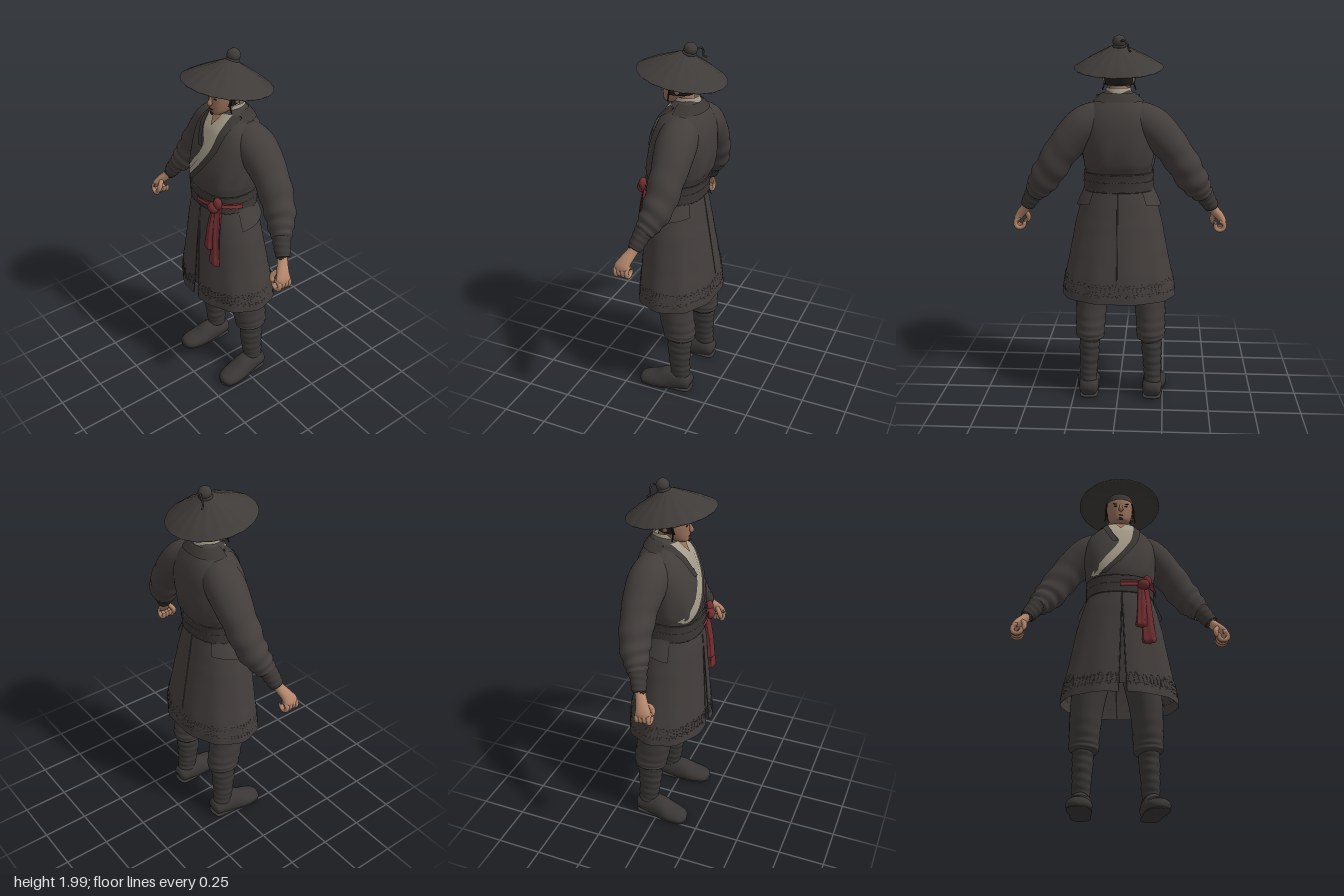
import * as THREE from 'three';
import { mergeVertices } from 'three/addons/utils/BufferGeometryUtils.js';

const { sin, cos, abs, sign, max, min, floor, PI } = Math;
const V = (x, y, z) => new THREE.Vector3(x, y, z);
const lerp = THREE.MathUtils.lerp;

// Smooth interpolation through rows of numbers
function curve(rows, t) {
  const n = rows.length, i = min(max(floor(t), 0), n - 2), f = t - i;
  const r = k => rows[min(max(k, 0), n - 1)];
  return r(i).map((b, c) => {
    const a = r(i - 1)[c], d = r(i + 1)[c], e = r(i + 2)[c];
    return b + 0.5 * f * (d - a + f * (2 * a - 5 * b + 4 * d - e + f * (3 * (b - d) + e - a)));
  });
}
// Row at height y, for tables keyed by descending height
function atHeight(rows, y) {
  let i = 0;
  while (i < rows.length - 2 && y < rows[i + 1][0]) i++;
  return curve(rows, i + min(max((rows[i][0] - y) / (rows[i][0] - rows[i + 1][0]), 0), 1));
}
// Surface from f(u, v), with coincident points welded
function grid(f, nu, nv) {
  const pos = [], idx = [], w = nu + 1;
  for (let j = 0; j <= nv; j++) for (let i = 0; i <= nu; i++) pos.push(...f(i / nu, j / nv).toArray());
  for (let j = 0; j < nv; j++) for (let i = 0; i < nu; i++) {
    const a = j * w + i;
    idx.push(a, a + 1, a + w + 1, a, a + w + 1, a + w);
  }
  let g = new THREE.BufferGeometry();
  g.setAttribute('position', new THREE.Float32BufferAttribute(pos, 3));
  g.setIndex(idx);
  g = mergeVertices(g, 1e-4);
  g.computeVertexNormals();
  return g;
}
// Oval tube along rows of [x, y, z, radiusU, radiusV]
function loft(rows, nv = 24, nu = 24, bump = () => 0, floorY = -9) {
  const n = rows.length - 1;
  return grid((u, v) => {
    const p = curve(rows, v * n), a = u * 2 * PI;
    const q = curve(rows, max(v * n - 0.05, 0)), r = curve(rows, min(v * n + 0.05, n));
    const t = V(r[0] - q[0], r[1] - q[1], r[2] - q[2]).normalize();
    const U = (abs(t.z) > 0.8 ? V(0, 1, 0) : V(0, 0, 1)).cross(t).normalize();
    const W = t.clone().cross(U), k = 1 + bump(v, a);
    const o = V(p[0], p[1], p[2]).addScaledVector(U, max(p[3], 0) * k * cos(a)).addScaledVector(W, max(p[4], 0) * k * sin(a));
    o.y = max(o.y, floorY);
    return o;
  }, nu, nv);
}
const tube = (pts, r, n = 16) => new THREE.TubeGeometry(new THREE.CatmullRomCurve3(pts.map(p => V(...p))), n, r, 6);

// Body tables: height, half width, front z, back z
const TORSO = [[1.715, .06, .0, -.085], [1.69, .09, .04, -.105], [1.65, .13, .07, -.13], [1.61, .17, .1, -.15], [1.55, .2, .125, -.166],
  [1.48, .205, .15, -.172], [1.4, .2, .17, -.17], [1.32, .19, .177, -.155], [1.27, .176, .17, -.13], [1.17, .175, .165, -.12]];
const SKIRT = [[1.21, .178, .17, -.124], [1.1, .21, .183, -.14], [1, .236, .19, -.157], [.8, .272, .205, -.19], [.66, .3, .214, -.21], [.58, .308, .22, -.216]];
const HEAD = [[1.9, 0, 0, 0], [1.87, .06, .075, -.08], [1.82, .074, .096, -.09], [1.78, .073, .1, -.085], [1.74, .066, .1, -.065],
  [1.705, .052, .098, -.02], [1.685, .033, .094, .02], [1.675, 0, .07, .06]];

// Point on a body table at angle a (0 = left side, PI/2 = front)
function skin(rows, a, y, off = 0, p = 2.4) {
  const [, rx, zf, zb] = atHeight(rows, y), pw = c => sign(c) * abs(c) ** (2 / p);
  return V((rx + off) * pw(cos(a)), y, (zf + zb) / 2 + ((zf - zb) / 2 + off) * pw(sin(a)));
}
function frontZ(rows, x, y, p = 2.4) {
  const [, rx, zf, zb] = atHeight(rows, y), q = min(abs(x / rx), 0.985);
  return (zf + zb) / 2 + (zf - zb) / 2 * (1 - q ** p) ** (1 / p);
}
const band = (rows, a0, a1, y0, y1, off, n = 48, p = 2.4) => grid((u, v) => skin(rows, lerp(a1, a0, u), lerp(y0, y1, v), off, p), n, 6);
// Cloth on the chest between two edges of [x, y], listed top down
const lapel = (L, R, off) => grid((u, v) => {
  const a = curve(L, (1 - v) * (L.length - 1)), b = curve(R, (1 - v) * (R.length - 1));
  const x = lerp(a[0], b[0], u), y = lerp(a[1], b[1], u);
  return V(x, y, frontZ(TORSO, x, y) + off);
}, 8, 28);

export function createModel() {
  const model = new THREE.Group();
  const mat = (name, color, two) => {
    const m = new THREE.MeshStandardMaterial({ color, side: two ? THREE.DoubleSide : THREE.FrontSide });
    m.name = name;
    return m;
  };
  const robe = mat('robe cloth', 0x433e3c, true), trim = mat('dark trim', 0x3b3735, true), straw = mat('hat', 0x3f3b39, true);
  const trousersM = mat('trousers', 0x3f3b3a, true), boots = mat('boots', 0x393635, true), cream = mat('cream linen', 0xa59d8a, true);
  const red = mat('red sash', 0x6f2d30, true), handSkin = mat('hand skin', 0xb3866b), faceSkin = mat('face skin', 0x97705a, true);
  const hair = mat('hair', 0x231f1e, true);
  const add = (name, geo, m, parent = model) => {
    const o = new THREE.Mesh(geo, m);
    o.name = name;
    parent.add(o);
    return o;
  };
  const ball = (name, m, x, y, z, sx, sy, sz, parent) => {
    const o = add(name, new THREE.SphereGeometry(1, 16, 12), m, parent);
    o.position.set(x, y, z);
    o.scale.set(sx, sy, sz);
    return o;
  };

  // Robe top with soft folds above the belt
  add('robeTop', grid((u, v) => {
    const a = -u * 2 * PI, y = lerp(1.17, 1.715, v);
    const fold = .005 * sin(a * 9 + y * 14) * max(0, 1 - abs(y - 1.34) / .13);
    return skin(TORSO, a, y, fold);
  }, 64, 40), robe);
  const inL = [[-.078, 1.685], [-.05, 1.59], [-.015, 1.51], [-.095, 1.39], [-.172, 1.3]];
  const inR = [[.078, 1.685], [.068, 1.59], [.045, 1.5], [-.035, 1.38], [-.125, 1.29]];
  const shift = (pts, d) => pts.map(([x, y]) => [x + d, y]);
  add('innerShirt', lapel(inL, inR, .004), cream);
  add('innerLapel', lapel(shift(inR, -.035), inR, .008), cream);
  add('throat', lapel([[-.038, 1.7], [-.022, 1.66], [-.002, 1.625]], [[.038, 1.7], [.022, 1.66], [.002, 1.625]], .011), faceSkin);
  add('outerCollar', lapel(inR, shift(inR, .04), .012), trim);
  add('underCollar', lapel(shift(inL.slice(0, 3), -.035), inL.slice(0, 3), .01), trim);
  add('backCollar', band(TORSO, PI * .93, PI * 2.07, 1.655, 1.7, .008, 32), trim);
  add('shirtCollar', grid((u, v) => {
    const a = lerp(PI * 2.3, PI * .7, u), r = lerp(.078, .064, v);
    return V(r * cos(a), lerp(1.66, 1.725, v), -.032 + r * .95 * sin(a));
  }, 32, 6), cream);

  // Skirt: open at the front, waving a little towards the hem
  const slit = y => .006 + .06 * max(0, (1.16 - y) / .58);
  const skirtAt = (u, y, off = 0) => {
    const g = slit(y), a = lerp(PI / 2 - g, PI / 2 - 2 * PI + g, u);
    return skin(SKIRT, a, y, off + .004 * sin(a * 10 + 1) * max(0, (1.1 - y) / .5), 2.1);
  };
  add('skirt', grid((u, v) => skirtAt(u, lerp(.585, 1.21, v)), 96, 24), robe);
  add('skirtHem', grid((u, v) => skirtAt(u, lerp(.585, .715, v), .003), 96, 4), robe);
  for (const k of [0, 1]) {
    const zig = Array.from({ length: 81 }, (_, i) => skirtAt(i / 80, (i + k) % 2 ? .62 : .7, .002).toArray());
    add('hemStitching', tube(zig, .002, 240), robe);
    add('frontEdge', tube([1.15, 1, .85, .7, .59].map(y => skirtAt(k, y, .001).toArray()), .003), robe);
  }
  add('skirtLining', band(SKIRT, PI / 2 - .3, PI / 2 + .3, .64, 1.19, -.02, 12, 2.1), trim);
  add('backSeam', tube([1.18, 1, .85, .7, .59].map(y => skirtAt(.5, y).toArray()), .003), robe);
  for (const s of [1, -1]) {
    add('hipFlap', grid((u, v) => {
      const a = lerp(.25, -.85, u), p = skin(SKIRT, a, lerp(1.08 + .03 * u, 1.2, v), .004 + .014 * (1 - v), 2.1);
      p.x *= s;
      return p;
    }, 12, 6), robe);
  }

  // Belt and red sash
  add('belt', band(TORSO, 0, 2 * PI, 1.18, 1.275, .012, 64), trim);
  for (const y of [1.18, 1.232, 1.275]) {
    add('beltEdge', tube(Array.from({ length: 33 }, (_, i) => skin(TORSO, -i / 16 * PI, y, .009).toArray()), .0045, 64), robe);
  }
  add('sashBand', grid((u, v) => skin(TORSO, lerp(1.6, .1, u), lerp(1.205, 1.24, v) + .012 * sin(u * 3), .02 + .004 * sin(v * 9)), 24, 8), red);
  ball('sashKnot', red, .118, 1.222, .178, .033, .03, .028);
  ball('sashLoop', red, .138, 1.25, .165, .026, .034, .022);
  const tail = (x0, x1, y1, w) => {
    const rows = [0, .2, .5, .8, .97, 1].map(t => {
      const x = lerp(x0, x1, t), y = lerp(1.22, y1, t);
      return [x, y, frontZ(SKIRT, x, y, 2.1) + .018, t === 1 ? 0 : lerp(.022, w, t), t === 1 ? 0 : .017];
    });
    add('sashTail', loft(rows, 30, 32, (v, a) => .16 * sin(a * 5 + v * 3)), red);
  };
  tail(.122, .142, .87, .034);
  tail(.112, .1, .96, .027);

  for (const s of [1, -1]) {
    // Sleeve with creases, then wrapped cuff
    const X = rows => rows.map(([x, ...r]) => [x * s, ...r]);
    add('sleeve', loft(X([[.09, 1.575, -.04, .086, .09], [.185, 1.52, -.05, .103, .106], [.295, 1.4, -.055, .092, .092], [.385, 1.26, -.04, .085, .08],
      [.435, 1.185, -.012, .068, .062], [.462, 1.15, .003, .052, .048]]), 60, 36,
      (v, a) => .05 * sin(v * 42 + 1.6 * sin(a + 1)) * min(1, max(0, (v - .3) * 4))), robe);
    add('cuff', loft(X([[.445, 1.18, -.004, .053, .05], [.475, 1.13, .014, .047, .044], [.505, 1.08, .03, .039, .037], [.506, 1.078, .031, .03, .03]]), 30, 24,
      (v, a) => .04 * sin(v * 38 + a)), trim);

    // Hand: wrist, palm, curled fingers and thumb
    const hand = new THREE.Group();
    hand.name = 'hand';
    model.add(hand);
    add('wrist', loft(X([[.49, 1.1, .025, .027, .027], [.52, 1.055, .045, .026, .028], [.55, 1.02, .065, .024, .034], [.572, .985, .078, .018, .04], [.578, .955, .08, 0, 0]]), 20, 20), handSkin, hand);
    for (let i = 0; i < 4; i++) {
      const f = add('finger', new THREE.TorusGeometry(.025, .012, 8, 20, PI * 1.7), handSkin, hand);
      f.position.set(s * .555, .965 + .003 * (i % 3), .045 + i * .021);
      f.rotation.set(0, s > 0 ? 0 : PI, PI * .55 - PI * 1.7);
    }
    add('thumb', loft(X([[.535, 1.03, .075, .012, .012], [.515, 1.0, .1, .014, .014], [.52, .97, .108, .012, .012], [.532, .95, .108, 0, 0]]), 14, 12), handSkin, hand);

    // Trouser leg, wrapped shin and boot
    const L = rows => rows.map(([x, ...r]) => [x * s - .013, ...r]);
    add('trouserLeg', loft(L([[.09, .98, -.01, .1, .12], [.125, .78, -.015, .1, .12], [.155, .6, -.02, .09, .103], [.165, .48, -.035, .083, .098], [.168, .4, -.05, .08, .094],
      [.17, .355, -.055, .077, .088], [.172, .33, -.055, .05, .06]]), 60, 32, (v, a) => .035 * sin(v * 55 + 2 * sin(a)) * max(0, v - .3) * 1.6), trousersM);
    add('shinWrap', loft(L([[.172, .36, -.055, .057, .072], [.174, .28, -.055, .055, .069], [.178, .18, -.058, .05, .061], [.18, .1, -.066, .046, .055], [.18, .05, -.07, .046, .055]]), 70, 28,
      (v, a) => .03 * sin(v * 56 + a) + .02 * sin(v * 31 - a)), boots);
    // The foot runs along z, so its first radius is the width
    const foot = [[.177, .045, -.132, 0, 0], [.177, .048, -.122, .046, .04], [.178, .058, -.075, .055, .06], [.183, .05, 0, .058, .073], [.191, .036, .07, .066, .053],
      [.198, .03, .13, .06, .04], [.201, .025, .165, .042, .028], [.202, .022, .181, 0, 0]];
    add('boot', loft(L(foot), 36, 28, undefined, .006), boots);
    add('sole', loft(L(foot.map(([x, , z, w, h]) => [x, .008, z, w * .96, h ? .008 : 0])), 30, 24), boots);
  }

  // Head and neck
  const head = new THREE.Group();
  head.name = 'head';
  model.add(head);
  add('neck', loft([[0, 1.6, -.03, .055, .055], [0, 1.68, -.02, .048, .052], [0, 1.76, -.005, .05, .055]], 8, 24), faceSkin, head);
  add('face', grid((u, v) => skin(HEAD, -u * 2 * PI, lerp(1.675, 1.9, v), 0, 2.2), 36, 32), faceSkin, head);
  add('hairCap', band(HEAD, PI - .3, 2 * PI + .3, 1.735, 1.88, .007, 32, 2.2), hair, head);
  add('headband', band(HEAD, 0, 2 * PI, 1.812, 1.875, .008, 40, 2.2), trim, head);
  add('nose', loft([[0, 1.785, .094, .007, .006], [0, 1.76, .103, .009, .01], [0, 1.742, .108, .014, .013], [0, 1.732, .1, 0, 0]], 12, 12), faceSkin, head);
  const spot = (name, x, y, w, h, m = hair) => ball(name, m, x, y, frontZ(HEAD, x, y, 2.2), w, h, .004, head);
  spot('mouth', 0, 1.713, .014, .002);
  spot('chinBeard', 0, 1.69, .013, .01);
  for (const s of [1, -1]) {
    spot('eye', s * .028, 1.774, .01, .0035);
    spot('eyebrow', s * .03, 1.79, .017, .003).rotation.z = s * .12;
    ball('ear', faceSkin, s * .076, 1.768, -.005, .009, .026, .016, head);
    ball('hatStrap', red, s * .081, 1.785, .012, .006, .025, .009, head);
    add('hairLock', tube([[s * .076, 1.82, .03], [s * .083, 1.77, .035], [s * .08, 1.735, .04], [s * .09, 1.705, .04]], .004), hair, head);
  }

  // Wide hat tipped backwards, with shallow woven panels and a top knot
  const hat = new THREE.Group();
  hat.name = 'hat';
  hat.position.set(0, 1.828, 0);
  hat.rotation.x = -.175;
  model.add(hat);
  const P = [[0, .095], [.15, .03], [.228, -.006], [.234, 0], [.16, .046], [.09, .083], [.04, .109], [0, .122]];
  const cone = new THREE.LatheGeometry(P.map(p => new THREE.Vector2(...p)), 72), pos = cone.attributes.position;
  for (let i = 0; i < pos.count; i++) {
    const a = Math.atan2(pos.getZ(i), pos.getX(i)), r = Math.hypot(pos.getX(i), pos.getZ(i));
    pos.setY(i, pos.getY(i) + .0015 * sin(a * 18) * min(1, r / .1));
  }
  cone.computeVertexNormals();
  add('hatCone', cone, straw, hat);
  ball('topKnot', straw, -.005, .137, -.02, .035, .034, .035, hat);
  const base = add('knotBase', new THREE.TorusGeometry(.028, .008, 8, 20), straw, hat);
  base.position.set(-.005, .115, -.018);
  base.rotation.x = PI / 2;
  add('knotTail', tube([[-.01, .14, -.045], [-.03, .15, -.062], [-.05, .135, -.07], [-.056, .105, -.075], [-.066, .1, -.09]], .005), trim, hat);
  return model;
}
